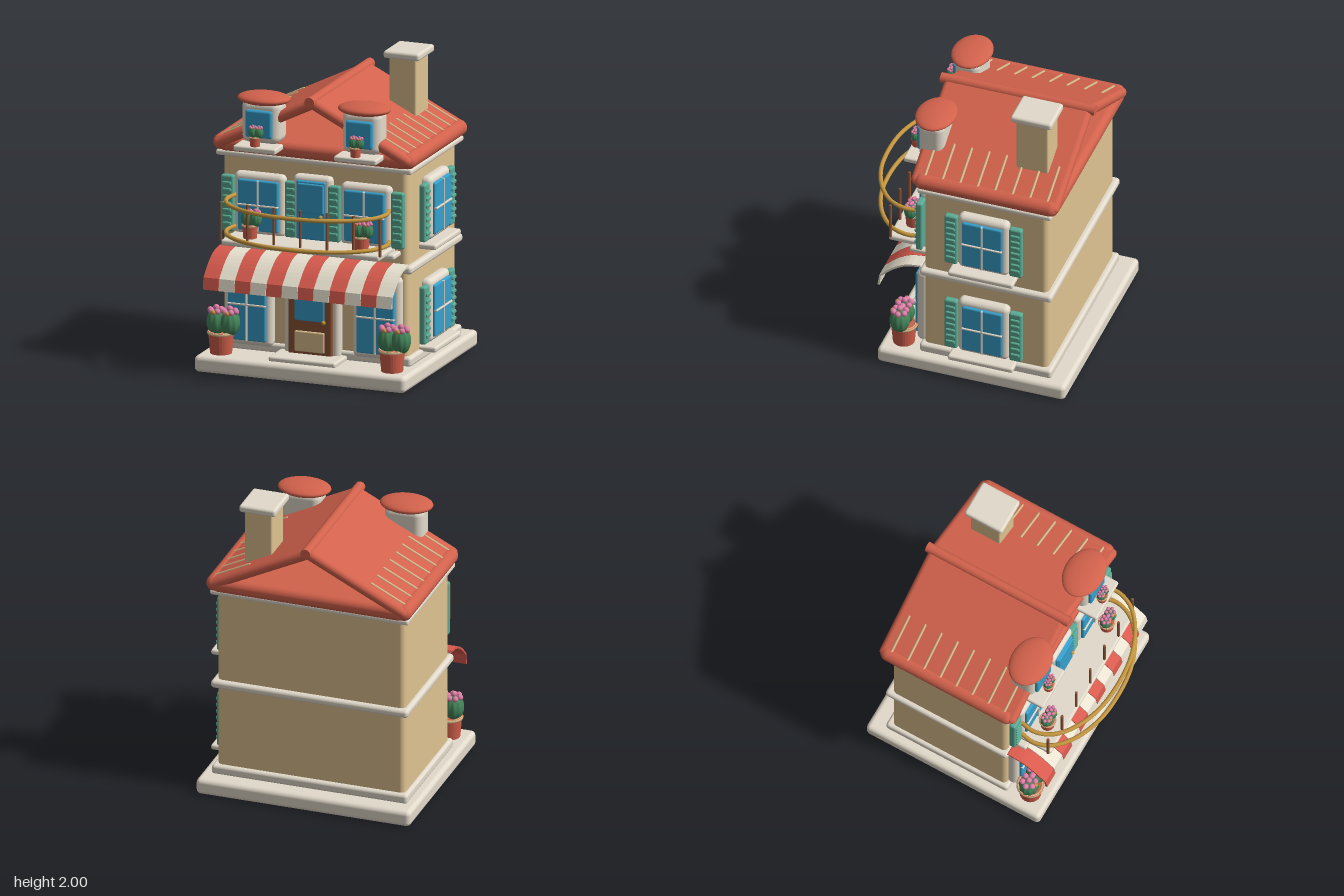
import * as THREE from 'three';
import { RoundedBoxGeometry } from 'three/addons/geometries/RoundedBoxGeometry.js';

const mat = (color, side = THREE.FrontSide) => new THREE.MeshStandardMaterial({ color, side });
const M = {
  wall: mat(0xdfc391), trim: mat(0xe2dacb), roof: mat(0xd2624c), glass: mat(0x37a0cc),
  shutter: mat(0x5cab94), wood: mat(0x8d5336), gold: mat(0xc4963f), green: mat(0x44855a),
  pink: mat(0xe07fa8), pot: mat(0xcf5f4a), red: mat(0xd85a4d, THREE.DoubleSide),
  cream: mat(0xe9e2d0, THREE.DoubleSide), rib: mat(0xd9b98a),
};
const C = -0.0125; // centre line of the house

function add(parent, name, geo, material, x = 0, y = 0, z = 0) {
  const m = new THREE.Mesh(geo, material);
  m.name = name;
  m.position.set(x, y, z);
  parent.add(m);
  return m;
}

// Rounded box given by its extents
function box(parent, name, material, x0, x1, y0, y1, z0, z1, r = 0.01) {
  const w = x1 - x0, h = y1 - y0, d = z1 - z0;
  const geo = new RoundedBoxGeometry(w, h, d, 3, Math.min(r, w * 0.49, h * 0.49, d * 0.49));
  return add(parent, name, geo, material, (x0 + x1) / 2, (y0 + y1) / 2, (z0 + z1) / 2);
}

function group(parent, name, x = 0, y = 0, z = 0) {
  const g = new THREE.Group();
  g.name = name;
  g.position.set(x, y, z);
  parent.add(g);
  return g;
}

// Window facing +z, centred on x with the wall at z = 0
function makeWindow(parent, name, x, y0, y1, z, w = 0.335) {
  const g = group(parent, name, x, 0, z), h = w / 2, i = h - 0.035, mid = (y0 + y1) / 2;
  box(g, 'windowFrame', M.trim, -h, h, y0, y1, -0.02, 0.062, 0.035);
  box(g, 'windowGlass', M.glass, -i, i, y0 + 0.035, y1 - 0.04, 0.03, 0.08, 0.012);
  box(g, 'verticalBar', M.trim, -0.006, 0.006, y0 + 0.035, y1 - 0.04, 0.05, 0.09, 0.004);
  box(g, 'horizontalBar', M.trim, -i, i, mid - 0.006, mid + 0.006, 0.05, 0.09, 0.004);
  return g;
}

// Slatted shutter, back at z = 0
function makeShutter(parent, x, y0, y1, z, w = 0.086) {
  const g = group(parent, 'shutter', x, 0, z);
  box(g, 'shutterPanel', M.shutter, -w / 2, w / 2, y0, y1, 0, 0.045, 0.014);
  const n = 7, step = (y1 - y0 - 0.06) / n;
  for (let i = 0; i < n; i++) {
    const y = y0 + 0.03 + step * (i + 0.5);
    box(g, 'shutterSlat', M.shutter, -w * 0.36, w * 0.36, y - 0.012, y + 0.012, 0.03, 0.056, 0.008);
  }
}

// Ribbed cactus ball with a crown of blossoms
function makeCactus(parent, x, z, y, rx, ry) {
  const geo = new THREE.SphereGeometry(1, 40, 16), p = geo.attributes.position;
  for (let i = 0; i < p.count; i++) {
    const k = 0.95 + 0.05 * Math.cos(10 * Math.atan2(p.getZ(i), p.getX(i)));
    p.setXYZ(i, p.getX(i) * k * rx, p.getY(i) * ry, p.getZ(i) * k * rx);
  }
  geo.computeVertexNormals();
  add(parent, 'cactus', geo, M.green, x, y, z);
  const r = rx * 0.3;
  for (let i = 0; i < 6; i++) {
    const a = (i / 6) * Math.PI * 2;
    add(parent, 'blossom', new THREE.SphereGeometry(r, 12, 8), M.pink,
      x + Math.cos(a) * rx * 0.62, y + ry * 0.86, z + Math.sin(a) * rx * 0.62);
  }
  add(parent, 'blossom', new THREE.SphereGeometry(r, 12, 8), M.pink, x, y + ry * 1.08, z);
  add(parent, 'blossomCentre', new THREE.SphereGeometry(r * 0.75, 12, 8), M.gold, x, y + ry * 0.8, z + rx * 0.75);
}

function makePot(parent, name, x, y, z, s, pair = true) {
  const g = group(parent, name, x, y, z);
  g.scale.setScalar(s);
  const prof = [[0, 0], [0.07, 0], [0.08, 0.12], [0.086, 0.122], [0.086, 0.145], [0.07, 0.145], [0.068, 0.13], [0, 0.13]];
  const geo = new THREE.LatheGeometry(prof.map(p => new THREE.Vector2(...p)), 28);
  const pot = add(g, 'flowerPot', geo.toNonIndexed(), M.pot);
  pot.geometry.computeVertexNormals();
  const rim = add(g, 'potRim', new THREE.TorusGeometry(0.078, 0.012, 8, 28), M.rib, 0, 0.135, 0);
  rim.rotation.x = Math.PI / 2;
  if (pair) {
    makeCactus(g, -0.03, 0.005, 0.205, 0.066, 0.085);
    makeCactus(g, 0.063, 0.005, 0.205, 0.066, 0.085);
  } else makeCactus(g, 0, 0, 0.23, 0.095, 0.11);
}

function makeRoof(house) {
  const g = group(house, 'roof');
  box(g, 'roofBase', M.roof, -0.665, 0.64, 1.4, 1.5, -0.655, 0.31, 0.045);
  const run = 0.655, rise = 0.325, len = Math.hypot(run, rise), ang = Math.atan2(rise, run);
  for (const s of [-1, 1]) {
    const side = group(g, 'roofSlope', C + s * run / 2, 1.45 + rise / 2, -0.165);
    side.rotation.z = -s * ang;
    add(side, 'roofPanel', new RoundedBoxGeometry(len + 0.03, 0.07, 0.99, 4, 0.033), M.roof);
    // Tile ribs near the eave
    for (let i = 0; i < 8; i++) {
      const rib = add(side, 'roofRib', new THREE.CapsuleGeometry(0.009, 0.26, 4, 8), M.rib,
        s * 0.205, 0.034, -0.415 + i * 0.1171);
      rib.rotation.z = Math.PI / 2;
    }
    const eave = add(g, 'eaveRoll', new THREE.CapsuleGeometry(0.052, 0.86, 6, 16), M.roof, C + s * 0.638, 1.453, -0.172);
    eave.rotation.x = Math.PI / 2;
  }
  const ridge = add(g, 'ridgeRoll', new THREE.CylinderGeometry(0.034, 0.034, 1.035, 20), M.roof, C, 1.793, -0.163);
  ridge.rotation.x = Math.PI / 2;
  box(g, 'chimney', M.wall, 0.265, 0.45, 1.56, 1.97, -0.525, -0.31, 0.012);
  box(g, 'chimneyCap', M.trim, 0.235, 0.48, 1.95, 2, -0.555, -0.28, 0.018);

  // Dormers with domed caps and a little cactus
  for (const s of [-1, 1]) {
    const d = group(g, 'dormer', C + s * 0.343);
    box(d, 'dormerBody', M.trim, -0.13, 0.13, 1.485, 1.77, 0.18, 0.35, 0.05);
    box(d, 'dormerGlass', M.glass, -0.09, 0.09, 1.53, 1.71, 0.32, 0.37, 0.015);
    box(d, 'dormerSill', M.trim, -0.145, 0.145, 1.45, 1.487, 0.27, 0.437, 0.012);
    add(d, 'dormerCap', new THREE.SphereGeometry(1, 36, 18), M.roof, 0, 1.77, 0.267).scale.set(0.174, 0.04, 0.13);
    makePot(d, 'dormerCactus', -0.008, 1.487, 0.4, 0.44, true);
  }
}

function makeAwning(house) {
  const g = group(house, 'awning');
  const curve = new THREE.CatmullRomCurve3([[0.27, 0.777], [0.37, 0.76], [0.46, 0.71], [0.545, 0.632]]
    .map(([z, y]) => new THREE.Vector3(z, y, 0)));
  const top = curve.getPoints(10), t = 0.013;
  const shape = new THREE.Shape();
  top.forEach((p, i) => (i ? shape.lineTo(p.x, p.y) : shape.moveTo(p.x, p.y)));
  shape.lineTo(0.557, 0.555).lineTo(0.543, 0.555).lineTo(0.535, 0.625);
  for (let i = 9; i >= 0; i--) shape.lineTo(top[i].x - t * 0.4, top[i].y - t);
  const n = 12, w = 1.29 / n;
  const geo = new THREE.ExtrudeGeometry(shape, { depth: w - 0.003, bevelEnabled: false });
  for (let i = 0; i < n; i++) {
    const m = add(g, 'awningStripe', geo, i % 2 ? M.cream : M.red, -0.66 + (i + 1) * w, 0, 0);
    m.rotation.y = -Math.PI / 2; // profile depth runs to +z, extrusion to -x
  }
}

function makeBalcony(house) {
  const g = group(house, 'balcony');
  box(g, 'balconyFloor', M.trim, -0.55, 0.53, 0.845, 0.885, 0.22, 0.52, 0.015);
  const half = [[0.525, 0.3], [0.54, 0.4], [0.5, 0.51], [0.39, 0.61], [0.21, 0.685]];
  const pts = [...half.map(([x, z]) => [-x, z]), [0, 0.707], ...half.slice().reverse()];
  for (const y of [0.92, 1.125]) {
    const path = new THREE.CatmullRomCurve3(pts.map(([x, z]) => new THREE.Vector3(C + x, y, z)));
    add(g, 'balconyRail', new THREE.TubeGeometry(path, 64, 0.014, 10), M.gold);
    for (const s of [-1, 1]) add(g, 'railEnd', new THREE.SphereGeometry(0.015, 12, 8), M.gold, C + s * 0.525, y, 0.3);
  }
  for (let i = 0; i < 7; i++)
    add(g, 'baluster', new THREE.CylinderGeometry(0.009, 0.009, 0.25, 10), M.wood, C + (i - 3) * 0.181, 1.002, 0.505);
  for (const x of [-0.393, 0.368]) makePot(g, 'balconyCactus', x, 0.885, 0.41, 0.62);
}

export function createModel() {
  const house = new THREE.Group();
  house.name = 'house';

  // Walls, base and trim bands
  box(house, 'basePlate', M.trim, -0.73, 0.71, 0, 0.107, -0.725, 0.535, 0.03);
  box(house, 'walls', M.wall, -0.645, 0.615, 0.09, 1.42, -0.58, 0.25, 0.035);
  box(house, 'plinth', M.trim, -0.67, 0.645, 0.1, 0.165, -0.612, 0.272, 0.02);
  box(house, 'floorBand', M.trim, -0.675, 0.65, 0.708, 0.762, -0.615, 0.272, 0.022);
  box(house, 'topBand', M.trim, -0.68, 0.655, 1.367, 1.405, -0.615, 0.285, 0.015);
  makeRoof(house);

  // Front windows, shutters and sills
  const F = 0.25;
  for (const s of [-1, 1]) {
    makeWindow(house, 'lowerFrontWindow', C + s * 0.438, 0.145, 0.69, F, 0.33);
    makeWindow(house, 'upperFrontWindow', C + s * 0.362, 0.87, 1.28, F, 0.345);
    makeShutter(house, C + s * 0.58, 0.88, 1.25, F + 0.015);
    makeShutter(house, C + s * 0.146, 0.88, 1.25, F + 0.015, 0.082);
    box(house, 'upperFrontSill', M.trim, C + s * 0.363 - 0.22, C + s * 0.363 + 0.22, 0.82, 0.855, 0.23, 0.365, 0.014);
  }

  // Windows on one side wall only
  const side = group(house, 'sideWindows', 0.615, 0, -0.165);
  side.rotation.y = Math.PI / 2;
  for (const y of [0, 0.672]) {
    makeWindow(side, 'sideWindow', 0, 0.195 + y, 0.61 + y, 0, 0.34);
    for (const s of [-1, 1]) makeShutter(side, s * 0.217, 0.207 + y, 0.585 + y, 0.015);
    box(side, 'sideSill', M.trim, -0.218, 0.218, 0.15 + y, 0.187 + y, -0.02, 0.115, 0.014);
  }

  // Front door and step
  const door = group(house, 'frontDoor', C - 0.004);
  box(door, 'doorFrame', M.trim, -0.19, 0.19, 0.11, 0.7, 0.23, 0.31, 0.03);
  box(door, 'doorLeaf', M.wood, -0.15, 0.15, 0.13, 0.66, 0.27, 0.335, 0.012);
  box(door, 'doorGlass', M.glass, -0.102, 0.102, 0.355, 0.62, 0.3, 0.345, 0.01);
  box(door, 'doorPanel', M.wall, -0.102, 0.102, 0.152, 0.288, 0.3, 0.345, 0.01);
  add(door, 'doorKnob', new THREE.SphereGeometry(0.014, 14, 10), M.gold, 0.1, 0.357, 0.35);
  box(door, 'doorStep', M.trim, -0.228, 0.228, 0.1, 0.137, 0.24, 0.475, 0.014);

  // Balcony door
  const upper = group(house, 'balconyDoor', C - 0.002);
  box(upper, 'balconyDoorFrame', M.trim, -0.13, 0.13, 0.87, 1.3, 0.23, 0.31, 0.03);
  box(upper, 'balconyDoorLeaf', M.glass, -0.1, 0.1, 0.885, 1.27, 0.27, 0.325, 0.012);
  box(upper, 'balconyDoorGlass', M.glass, -0.09, 0.09, 1.06, 1.255, 0.3, 0.335, 0.01);
  add(upper, 'balconyDoorKnob', new THREE.SphereGeometry(0.014, 14, 10), M.gold, 0.072, 1.042, 0.335);

  makeAwning(house);
  makeBalcony(house);
  for (const x of [-0.595, 0.572]) makePot(house, 'gardenCactus', x, 0.107, 0.4, 1);
  return house;
}
